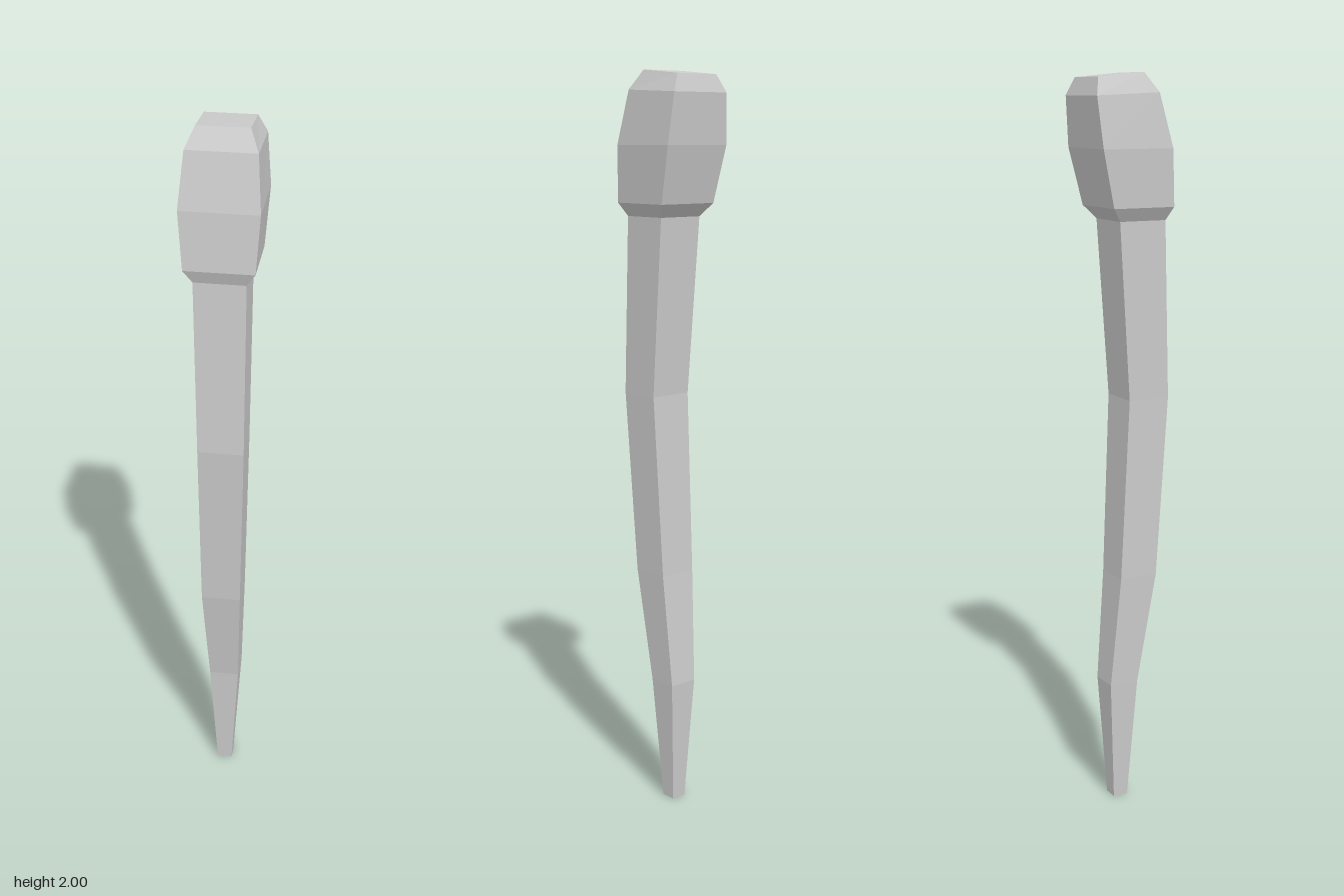
import * as THREE from 'three';

const material = new THREE.MeshStandardMaterial({ color: 0xcccccc, flatShading: true });

// Skins four-cornered rings, listed bottom to top as [yFront, yBack, xRight, xLeft, zBack, zFront]
function loft(name, rings, capBottom, capTop) {
  const positions = [], index = [];
  for (const [yF, yB, x0, x1, zB, zF] of rings) {
    positions.push(x1, yF, zF, x1, yB, zB, x0, yB, zB, x0, yF, zF);
  }
  for (let r = 0; r < rings.length - 1; r++) {
    for (let i = 0; i < 4; i++) {
      const a = r * 4 + i, b = r * 4 + (i + 1) % 4;
      index.push(a, b, b + 4, a, b + 4, a + 4);
    }
  }
  const t = (rings.length - 1) * 4;
  if (capBottom) index.push(0, 2, 1, 0, 3, 2);
  if (capTop) index.push(t, t + 1, t + 2, t, t + 2, t + 3);
  const indexed = new THREE.BufferGeometry();
  indexed.setAttribute('position', new THREE.Float32BufferAttribute(positions, 3));
  indexed.setIndex(index);
  const geometry = indexed.toNonIndexed();
  geometry.computeVertexNormals();
  const mesh = new THREE.Mesh(geometry, material);
  mesh.name = name;
  return mesh;
}

export function createModel() {
  const group = new THREE.Group();
  group.name = 'knobbedClub';

  // The ring where the shaft runs into the head
  const neck = [1.625, 1.625, -0.067, 0.067, -0.038, 0.096];

  // Tapering, gently S-bent shaft
  group.add(loft('shaft', [
    [0, 0, -0.021, 0.021, -0.034, 0.008],
    [0.345, 0.345, -0.04, 0.042, -0.053, 0.03],
    [0.655, 0.655, -0.054, 0.053, -0.028, 0.08],
    [1.15, 1.15, -0.057, 0.065, -0.004, 0.113],
    neck,
  ], true, false));

  // Chamfered head leaning backward
  group.add(loft('head', [
    neck,
    [1.66, 1.66, -0.09, 0.09, -0.067, 0.109],
    [1.81, 1.81, -0.102, 0.1, -0.103, 0.098],
    [1.95, 1.942, -0.09, 0.089, -0.115, 0.064],
    [2, 1.988, -0.067, 0.066, -0.1, 0.031],
  ], false, true));

  return group;
}
